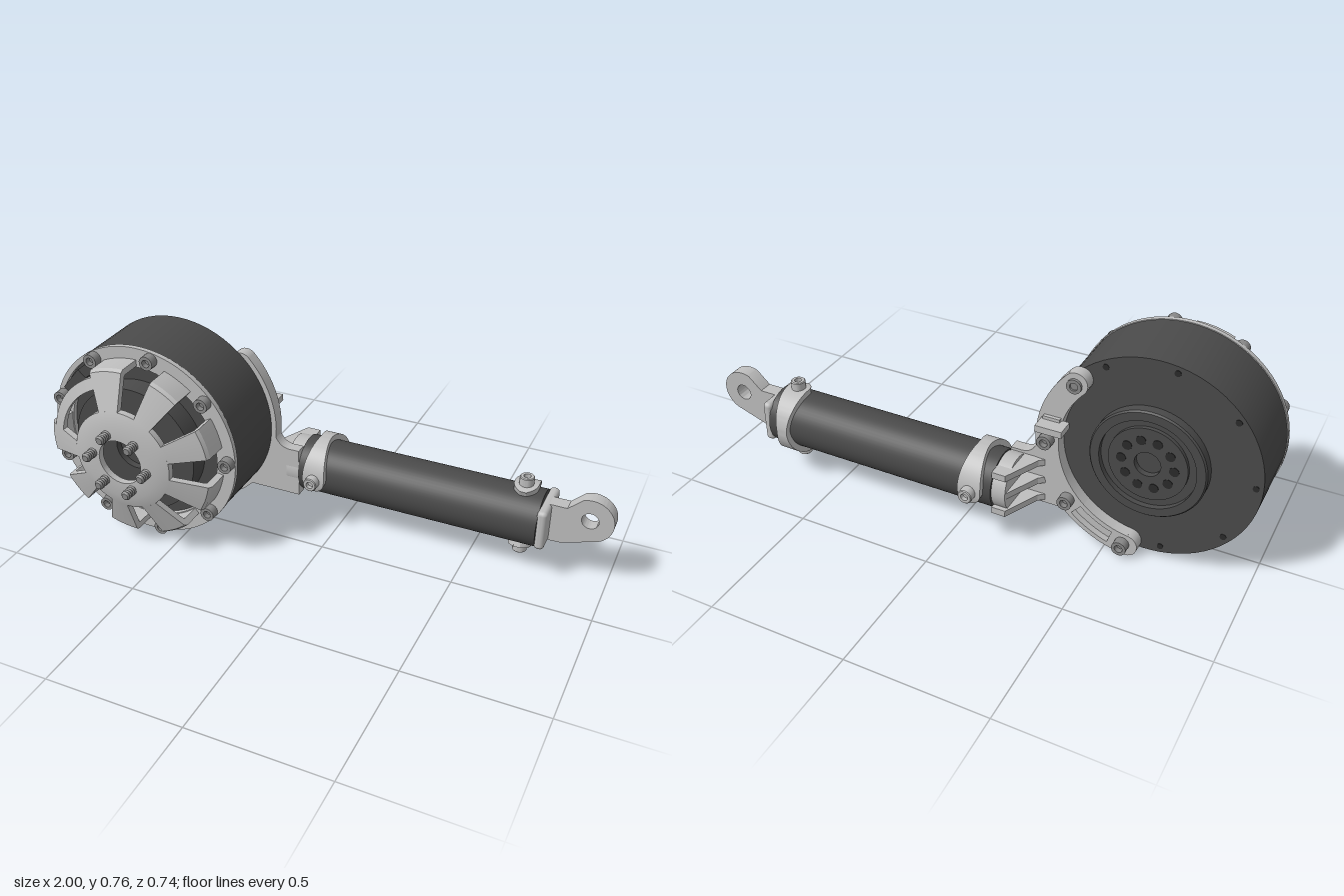
import * as THREE from 'three';
import { toCreasedNormals } from 'three/addons/utils/BufferGeometryUtils.js';
import { RoundedBoxGeometry } from 'three/addons/geometries/RoundedBoxGeometry.js';

const material = (name, color) => Object.assign(new THREE.MeshStandardMaterial({ color }), { name });
const alloy = material('light alloy', 0xbebebe);
const charcoal = material('charcoal', 0x4a4a4a);
const steel = material('steel', 0x888888);
const black = material('black', 0x2a2a2a);

const rad = THREE.MathUtils.degToRad;
const polar = (r, deg) => [r * Math.cos(rad(deg)), r * Math.sin(rad(deg))];
const shapeOf = (pts) => new THREE.Shape(pts.map(([x, y]) => new THREE.Vector2(x, y)));
const rect = (r0, r1, h0, h1) => [[r0, h0], [r1, h0], [r1, h1], [r0, h1]];

function add(parent, name, geometry, mat, x = 0, y = 0, z = 0) {
  const mesh = new THREE.Mesh(geometry, mat);
  mesh.name = name;
  mesh.position.set(x, y, z);
  parent.add(mesh);
  return mesh;
}

// Sweep a closed (radius, height) profile about the z axis between two angles
function sector(profile, a0, a1, width = () => 1) {
  const steps = Math.max(2, Math.ceil((a1 - a0) / 4));
  const g = new THREE.ExtrudeGeometry(shapeOf(profile), { depth: 1, steps, bevelEnabled: false });
  const p = g.attributes.position;
  for (let i = 0; i < p.count; i++) {
    const a = a1 - p.getZ(i) * (a1 - a0);
    p.setXYZ(i, ...polar(p.getX(i), a), p.getY(i) * width(a));
  }
  return toCreasedNormals(g, 0.5);
}

// Turned part about z, profile running from back to front along the outside
function turned(profile, segments = 24, facing = 1) {
  const g = new THREE.LatheGeometry(profile.map(([r, h]) => new THREE.Vector2(r, h)), segments);
  return toCreasedNormals(g.rotateX(facing * Math.PI / 2), 0.5);
}

function bolt(parent, x, y, z, facing, height = 0.035, r = 0.026) {
  const profile = [[r, 0], [r, height], [r * 0.55, height], [r * 0.55, height * 0.4], [0, height * 0.4]];
  add(parent, 'capBolt', turned(profile, 18, facing), steel, x, y, z);
}

function buildMotor() {
  const motor = new THREE.Group();
  motor.name = 'motor';

  // Drum with stepped back face and inner front boss
  add(motor, 'drum', turned([
    [0, -0.13], [0.045, -0.13], [0.045, -0.152], [0.135, -0.152], [0.135, -0.138], [0.165, -0.138],
    [0.165, -0.158], [0.195, -0.158], [0.2, -0.152], [0.2, -0.12], [0.369, -0.12], [0.369, 0.147],
    [0.24, 0.147], [0.24, 0.225], [0.075, 0.225], [0.075, 0.2], [0, 0.2]], 72), charcoal);
  const dot = (name, r, radius, deg, z) => {
    const g = new THREE.CylinderGeometry(radius, radius, 0.004, 12).rotateX(Math.PI / 2);
    add(motor, name, g, black, ...polar(r, deg), z);
  };
  for (let i = 0; i < 10; i++) dot('outputHole', 0.09, 0.017, i * 36, -0.152);
  for (let i = 0; i < 9; i++) dot('rimHole', 0.345, 0.011, i * 40 + 20, -0.12);

  // Front flange, thinner across the cable opening
  add(motor, 'flange', sector(rect(0.3, 0.372, 0.147, 0.165), 160, 480), alloy);
  add(motor, 'flangeBridge', sector(rect(0.353, 0.372, 0.147, 0.165), 120, 160), alloy);
  const cable = add(motor, 'cableBlock', new THREE.BoxGeometry(0.04, 0.11, 0.055), charcoal, ...polar(0.318, 140), 0.175);
  cable.rotation.z = rad(140);

  // Spoked cage
  const slope = (r) => 0.32 - (r - 0.145) * 0.344;
  add(motor, 'cageHub', sector([
    [0.085, 0.295], [0.14, 0.295], [0.19, 0.28], [0.19, slope(0.19)], [0.145, 0.32], [0.085, 0.32]], 0, 360), alloy);
  const rib = [[0.19, 0.28], [0.298, 0.243], [0.304, 0.236], [0.304, 0.165],
    [0.328, 0.165], [0.328, 0.247], [0.32, slope(0.32)], [0.19, slope(0.19)]];
  for (let a = 20; a < 380; a += 40) {
    if (a === 140) continue;
    add(motor, 'cageRib', sector(rib, a - 10, a + (a === 100 ? 14 : 10)), alloy);
  }
  add(motor, 'cageLip', sector([[0.265, 0.255], [0.305, 0.242], [0.305, slope(0.305)], [0.265, slope(0.265)]], 114, 170), alloy);

  // Flange bolts and threaded hub studs
  for (let i = 0; i < 9; i++) bolt(motor, ...polar(0.345, i * 40), 0.163, 1);
  const thread = [[0.013, 0.29]];
  for (let z = 0.318; z < 0.366; z += 0.01) thread.push([0.014, z], [0.018, z + 0.005]);
  thread.push([0.012, 0.37], [0, 0.37]);
  for (let i = 0; i < 6; i++) add(motor, 'hubStud', turned(thread, 14), steel, ...polar(0.11, 52 + i * 60), 0);
  return motor;
}

function buildBracket() {
  const bracket = new THREE.Group();
  bracket.name = 'bracket';
  const arc = (name, r0, r1, z0, z1, a0, a1) => add(bracket, name, sector(rect(r0, r1, z0, z1), a0, a1), alloy);

  // Curved arm with a pocket near its lower end
  arc('bracketArm', 0.305, 0.388, -0.165, -0.12, -48, 43);
  arc('bracketFoot', 0.305, 0.388, -0.165, -0.12, -82, -72);
  arc('pocketFloor', 0.305, 0.388, -0.14, -0.12, -72, -48);
  arc('pocketInnerRail', 0.305, 0.322, -0.165, -0.14, -72, -48);
  arc('pocketOuterRail', 0.371, 0.388, -0.165, -0.14, -72, -48);
  for (const a of [-82, 43]) {
    const g = new THREE.CylinderGeometry(0.0415, 0.0415, 0.045, 24).rotateX(Math.PI / 2);
    add(bracket, 'bracketEnd', g, alloy, ...polar(0.3465, a), -0.1425);
  }
  for (const a of [-80, -40, 0]) bolt(bracket, ...polar(0.345, a), -0.163, -1);
  bolt(bracket, ...polar(0.345, 42), -0.163, -1, 0.012);
  return bracket;
}

function buildNeck() {
  const neck = new THREE.Group();
  neck.name = 'neck';

  // Plate blending the curved arm into the tube
  const plate = new THREE.Shape();
  plate.moveTo(-0.36, 0.12);
  plate.lineTo(-0.15, 0.12);
  plate.lineTo(-0.15, 0.31);
  plate.lineTo(-0.19, 0.31);
  plate.quadraticCurveTo(-0.235, 0.312, -0.25, 0.37);
  plate.lineTo(-0.31, 0.37);
  plate.lineTo(-0.34, 0.24);
  plate.lineTo(-0.4, 0.16);
  add(neck, 'neckPlate', new THREE.ExtrudeGeometry(plate, { depth: 0.043, bevelEnabled: false }), alloy, 0, 0, -0.163);

  // Socket and gussets
  const socket = new THREE.CylinderGeometry(0.098, 0.098, 0.055, 40).rotateZ(Math.PI / 2);
  add(neck, 'tubeSocket', socket, alloy, -0.173, 0.215, -0.215);
  const gusset = shapeOf([[-0.28, 0.14], [-0.15, 0.14], [-0.15, 0.31], [-0.2, 0.31], [-0.26, 0.18], [-0.28, 0.163]]);
  for (const y of [0.155, 0.227, 0.3]) {
    const g = new THREE.ExtrudeGeometry(gusset, { depth: 0.024, bevelEnabled: false }).rotateX(-Math.PI / 2);
    // profile depth runs toward the back
    add(neck, 'gusset', g, alloy, 0, y - 0.024, 0);
  }

  // Small shelf tab
  add(neck, 'tabShelf', new THREE.BoxGeometry(0.095, 0.024, 0.065), alloy, -0.31, 0.459, -0.193);
  add(neck, 'tabRoot', new THREE.BoxGeometry(0.06, 0.045, 0.02), alloy, -0.3, 0.46, -0.168);
  return neck;
}

// Arched strap over the tube with a pin at each end
function buildClamp() {
  const clamp = new THREE.Group();
  clamp.name = 'clamp';
  const width = (a) => {
    const c = Math.abs(Math.cos(rad(a)));
    const past = Math.max(0, a - 180, -a) / 22;
    return (0.021 + 0.022 * c ** 1.5) * Math.sqrt(Math.max(0.08, 1 - past * past));
  };
  const strap = sector(rect(0.103, 0.126, -1, 1), -22, 202, width).rotateY(Math.PI / 2);
  add(clamp, 'clampStrap', toCreasedNormals(strap, 0.5), alloy);
  const pin = [[0.026, 0.1], [0.026, 0.153], [0.023, 0.156], [0.013, 0.156], [0.013, 0.14], [0, 0.14]];
  for (const side of [1, -1]) add(clamp, 'clampPin', turned(pin, 20, side), alloy);
  return clamp;
}

function buildArm() {
  const arm = new THREE.Group();
  arm.name = 'arm';
  arm.position.set(0, 0.215, -0.217);
  const tube = new THREE.CylinderGeometry(0.104, 0.104, 0.9, 56).rotateZ(Math.PI / 2);
  add(arm, 'tube', tube, charcoal, 0.3, 0, 0);

  const nearClamp = buildClamp();
  nearClamp.position.x = -0.08;
  const farClamp = buildClamp();
  farClamp.position.x = 0.68;
  farClamp.rotation.x = -Math.PI / 2;
  arm.add(nearClamp, farClamp);

  // End cap and drilled lug
  add(arm, 'endCap', new RoundedBoxGeometry(0.036, 0.155, 0.188, 3, 0.015), alloy, 0.764, 0.003, 0);
  const lug = new THREE.Shape();
  lug.moveTo(0.77, -0.068);
  lug.lineTo(0.83, -0.066);
  lug.absarc(0.917, 0.05, 0.083, rad(-62), rad(113), false);
  lug.lineTo(0.835, 0.08);
  lug.lineTo(0.77, 0.08);
  const hole = new THREE.Path();
  hole.absarc(0.917, 0.05, 0.03, 0, Math.PI * 2, true);
  lug.holes.push(hole);
  const lugGeometry = new THREE.ExtrudeGeometry(lug, { depth: 0.052, bevelEnabled: false, curveSegments: 28 });
  add(arm, 'endLug', toCreasedNormals(lugGeometry, 0.5), alloy, 0, 0, -0.026);
  return arm;
}

export function createModel() {
  const model = new THREE.Group();
  model.name = 'motorArm';
  const motor = buildMotor();
  motor.add(buildBracket());
  motor.position.set(-0.628, 0.388, 0);
  model.add(motor, buildNeck(), buildArm());
  return model;
}
